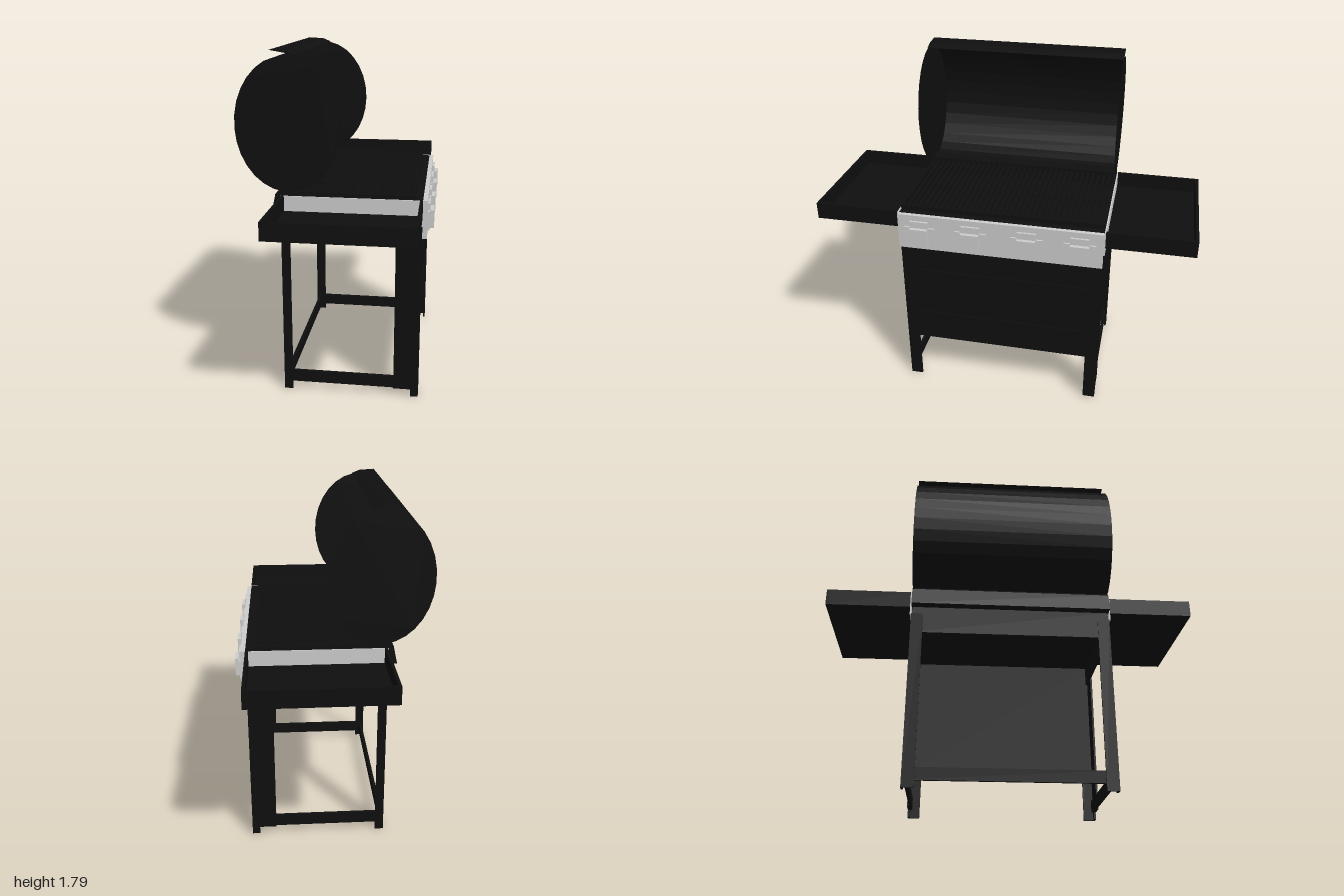
import * as THREE from 'three';

export function createModel() {
  const model = new THREE.Group();
  const black = new THREE.MeshStandardMaterial({ color: 0x0f0f0f, side: THREE.DoubleSide, flatShading: true });
  const grey = new THREE.MeshStandardMaterial({ color: 0xcccccc });

  function add(name, geometry, material = black, parent = model) {
    const mesh = new THREE.Mesh(geometry, material);
    mesh.name = name;
    parent.add(mesh);
    return mesh;
  }
  // Box given by its lower and upper bounds
  function box(name, x0, x1, y0, y1, z0, z1, material = black, parent = model) {
    const mesh = add(name, new THREE.BoxGeometry(x1 - x0, y1 - y0, z1 - z0), material, parent);
    mesh.position.set((x0 + x1) / 2, (y0 + y1) / 2, (z0 + z1) / 2);
    return mesh;
  }
  // Same box, placed on one end (s = 1 or -1) of the grill
  function endBox(name, s, x0, x1, y0, y1, z0, z1, material = black, parent = model) {
    return box(name, x0, x1, y0, y1, s > 0 ? z0 : -z1, s > 0 ? z1 : -z0, material, parent);
  }

  for (const s of [1, -1]) {
    // Angle-iron legs: two thin plates meeting at the outer corner
    endBox('frontLegFace', s, 0.43, 0.44, 0, 0.95, 0.475, 0.54);
    endBox('frontLegFoot', s, 0.4, 0.43, 0, 0.95, 0.53, 0.54);
    endBox('frontLegSide', s, 0.31, 0.4, 0.04, 0.95, 0.53, 0.54);
    endBox('backLegFace', s, -0.275, -0.265, 0, 0.95, 0.475, 0.54);
    endBox('backLegSide', s, -0.265, -0.23, 0, 0.95, 0.53, 0.54);

    // Rails joining the legs on each end
    endBox('lowerSideRail', s, -0.265, 0.4, 0.04, 0.105, 0.515, 0.53);
    endBox('upperSideRail', s, -0.265, 0.43, 0.84, 0.95, 0.52, 0.535);

    // Pale plate closing the end of the firebox
    endBox('sidePlate', s, -0.275, 0.44, 0.945, 1.078, 0.54, 0.547, grey);

    // Side shelf: shallow tray with an outer rim and a lowered floor
    const shelf = new THREE.Group();
    shelf.name = 'sideShelf';
    model.add(shelf);
    endBox('shelfFloor', s, -0.27, 0.44, 0.99, 1.0, 0.547, 1.0, black, shelf);
    endBox('shelfEndRim', s, -0.27, 0.44, 0.99, 1.08, 0.985, 1.0, black, shelf);
    endBox('shelfBackRim', s, -0.27, -0.255, 0.99, 1.08, 0.547, 0.985, black, shelf);
    endBox('shelfFrontRim', s, 0.425, 0.44, 0.99, 1.08, 0.547, 0.985, black, shelf);
  }
  box('lowerBackRail', -0.265, -0.25, 0.04, 0.105, -0.53, 0.53);
  box('upperBackRail', -0.27, -0.255, 0.84, 0.99, -0.53, 0.53);

  // Front panel with a raised frame
  box('frontPanel', 0.415, 0.428, 0.27, 0.95, -0.53, 0.53);
  for (const y of [0.44, 0.72]) box('panelTrim', 0.428, 0.436, y - 0.008, y + 0.008, -0.475, 0.475);
  for (const z of [-0.467, 0.467]) box('panelTrim', 0.428, 0.436, 0.44, 0.72, z - 0.008, z + 0.008);

  // Firebox
  box('fireboxFloor', -0.265, 0.4, 0.945, 0.99, -0.535, 0.535);
  box('fireboxFront', 0.385, 0.4, 0.99, 1.1, -0.538, 0.538);
  box('frontLedge', 0.4, 0.44, 0.95, 1.075, -0.538, 0.538);
  for (const s of [1, -1]) endBox('fireboxEnd', s, -0.265, 0.385, 0.99, 1.1, 0.525, 0.538);

  // Slanted rear wall carrying the lid hinge
  const rear = new THREE.Shape([[-0.32, 0.99], [-0.3, 1.085], [-0.27, 1.11], [-0.19, 1.11], [-0.19, 1.095],
    [-0.265, 1.08], [-0.265, 0.99]].map(p => new THREE.Vector2(...p)));
  const rearGeometry = new THREE.ExtrudeGeometry(rear, { depth: 1.076, bevelEnabled: false });
  rearGeometry.translate(0, 0, -0.538);
  add('rearWall', rearGeometry);

  // Cooking grate: bars running front to back on two cross bars
  const bars = 34;
  for (let i = 0; i < bars; i++) {
    const z = -0.505 + (1.01 * i) / (bars - 1);
    box('grateBar', -0.2, 0.385, 1.078, 1.095, z - 0.008, z + 0.008);
  }
  for (const x of [-0.15, 0.1, 0.34]) box('grateCrossBar', x - 0.008, x + 0.008, 1.066, 1.078, -0.525, 0.525);

  // Control panel and knobs
  box('controlPanel', 0.44, 0.463, 0.88, 1.077, -0.54, 0.54, grey);
  for (const z of [-0.422, -0.148, 0.148, 0.422]) {
    const knob = new THREE.Group();
    knob.name = 'knob';
    model.add(knob);
    box('knobBase', 0.463, 0.473, 0.915, 1.012, z - 0.083, z + 0.083, grey, knob);
    box('knobMarker', 0.463, 0.475, 0.912, 1.046, z - 0.05, z + 0.05, grey, knob);
    box('knobGrip', 0.475, 0.495, 0.917, 1.01, z - 0.048, z + 0.048, grey, knob);
  }

  // Open lid: full oval end caps, curved shell behind, flattened near the top
  const lid = new THREE.Group();
  lid.name = 'lid';
  model.add(lid);
  const cx = -0.23, cy = 1.435, rx = 0.268, ry = 0.338, steps = 28;
  const at = a => new THREE.Vector2(cx + rx * Math.cos(a), cy + ry * Math.sin(a));
  const outline = [new THREE.Vector2(-0.19, 1.772)];
  const start = Math.PI * 0.635, end = Math.PI * 2.45;
  for (let i = 0; i <= steps; i++) outline.push(at(start + ((end - start) * i) / steps));
  const cap = new THREE.ShapeGeometry(new THREE.Shape(outline));
  for (const z of [-0.538, 0.538]) add('lidEnd', cap, black, lid).position.z = z;

  // Sheet metal strip swept along z through a list of profile points
  function sheet(points) {
    const g = new THREE.PlaneGeometry(1, 1, points.length - 1, 1);
    const p = g.attributes.position;
    for (let i = 0; i < p.count; i++) {
      const q = points[i % points.length];
      p.setXYZ(i, q.x, q.y, i < points.length ? 0.538 : -0.538);
    }
    g.computeVertexNormals();
    return g;
  }
  const back = [outline[0]];
  for (let i = 0; i <= 14; i++) back.push(at(start + ((Math.PI * 1.53 - start) * i) / 14));
  add('lidShell', sheet(back), black, lid);

  // Thin lip folded back along the lid's free edge
  const lip = new THREE.Shape([[-0.315, 1.795], [-0.23, 1.79], [-0.185, 1.772], [-0.215, 1.778]]
    .map(p => new THREE.Vector2(...p)));
  const lipGeometry = new THREE.ExtrudeGeometry(lip, { depth: 1.076, bevelEnabled: false });
  lipGeometry.translate(0, 0, -0.538);
  add('lidLip', lipGeometry, black, lid);

  return model;
}
